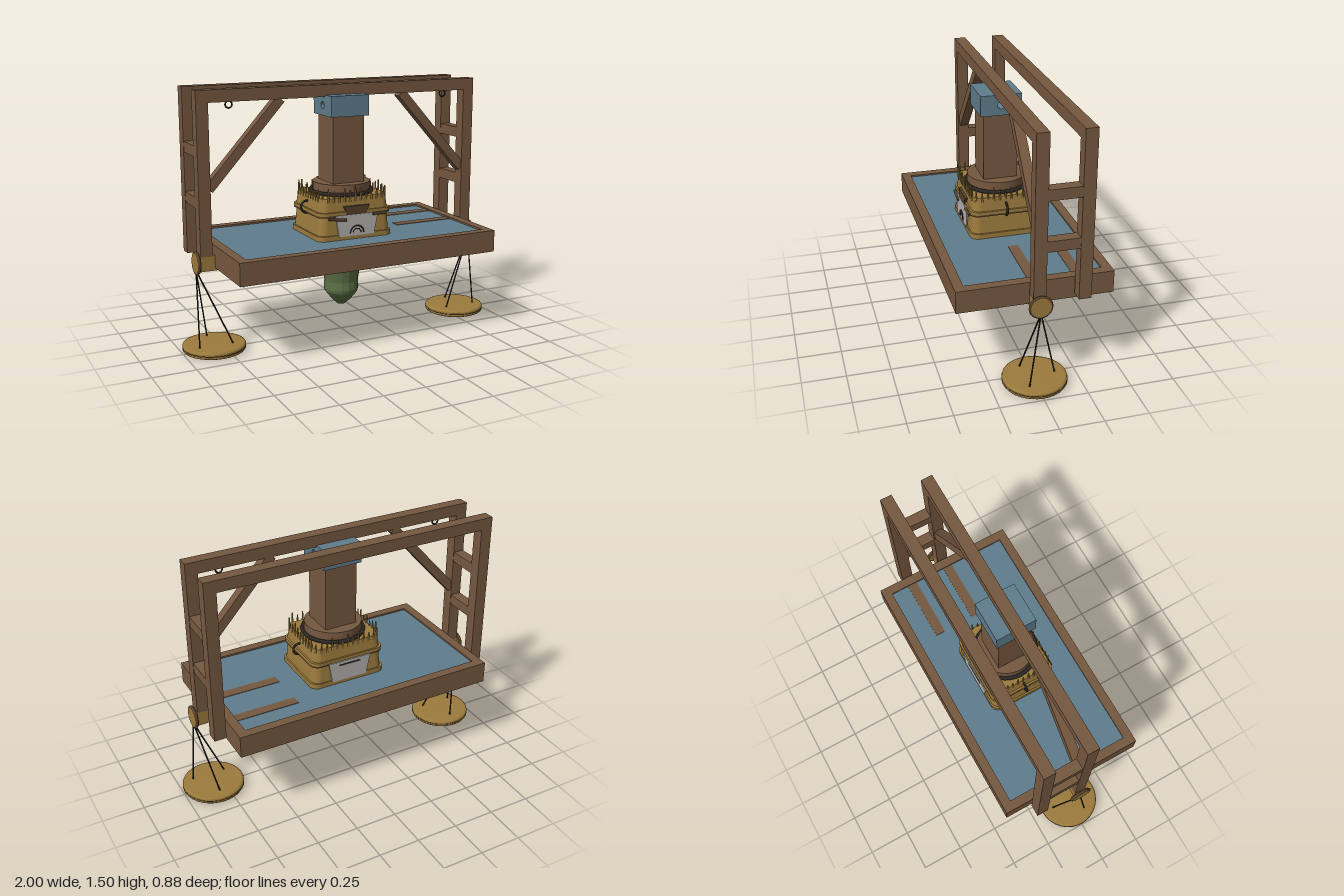
import * as THREE from 'three';

const mat = (name, color) => {
  const m = new THREE.MeshStandardMaterial({ color });
  m.name = name;
  return m;
};

export function createModel() {
  const wood = mat('brown wood', 0x765840);
  const trim = mat('dark wood trim', 0x55402a);
  const blue = mat('slate blue', 0x5f7d8c);
  const gold = mat('dull gold', 0x9c7b3d);
  const iron = mat('dark iron', 0x2a2725);
  const pale = mat('pale plate', 0xb4b2b0);
  const green = mat('moss green', 0x5c7046);
  green.flatShading = true;

  const model = new THREE.Group();
  model.name = 'weighingPress';

  const add = (name, geo, material, x = 0, y = 0, z = 0, parent = model) => {
    const m = new THREE.Mesh(geo, material);
    m.name = name;
    m.position.set(x, y, z);
    parent.add(m);
    return m;
  };
  // Box given by its limits on each axis
  const box = (name, material, x0, x1, y0, y1, z0, z1) =>
    add(name, new THREE.BoxGeometry(x1 - x0, y1 - y0, z1 - z0), material,
      (x0 + x1) / 2, (y0 + y1) / 2, (z0 + z1) / 2);
  // Straight rod between two points
  const rod = (name, material, a, b, r) => {
    const dir = b.clone().sub(a);
    const m = add(name, new THREE.CylinderGeometry(r, r, dir.length(), 6), material);
    m.position.copy(a).add(b).multiplyScalar(0.5);
    m.quaternion.setFromUnitVectors(new THREE.Vector3(0, 1, 0), dir.normalize());
    return m;
  };
  const roundedRect = (hx, hz, r) => {
    const s = new THREE.Shape();
    s.absarc(hx - r, hz - r, r, 0, Math.PI / 2);
    s.absarc(-hx + r, hz - r, r, Math.PI / 2, Math.PI);
    s.absarc(-hx + r, -hz + r, r, Math.PI, Math.PI * 1.5);
    s.absarc(hx - r, -hz + r, r, Math.PI * 1.5, Math.PI * 2);
    s.closePath();
    return s;
  };
  // Rounded rectangular slab whose outline scales towards the top
  const slab = (name, material, hx, hz, y0, y1, topScale = 1) => {
    const g = new THREE.ExtrudeGeometry(roundedRect(hx, hz, 0.05),
      { depth: y1 - y0, bevelEnabled: false, curveSegments: 6 });
    g.rotateX(-Math.PI / 2);
    const p = g.attributes.position;
    for (let i = 0; i < p.count; i++) {
      const k = p.getY(i) > 1e-4 ? topScale : 1;
      p.setXYZ(i, p.getX(i) * k, p.getY(i), p.getZ(i) * k);
    }
    g.computeVertexNormals();
    return add(name, g, material, 0, y0, 0);
  };
  // Flat polygon plate facing +z (side 1) or -z (side -1)
  const plate = (name, material, pts, z, depth, side = 1) => {
    const s = new THREE.Shape(pts.map(([x, y]) => new THREE.Vector2(x, y)));
    const m = add(name, new THREE.ExtrudeGeometry(s, { depth, bevelEnabled: false }), material, 0, 0, z * side);
    if (side < 0) m.rotation.y = Math.PI;
    return m;
  };

  // Table tray: base, raised rim and blue bed
  box('tableBase', wood, -0.805, 0.805, 0.5, 0.61, -0.445, 0.435);
  box('tableBed', blue, -0.75, 0.75, 0.61, 0.62, -0.39, 0.38);
  for (const s of [-1, 1]) {
    box('tableEndRim', wood, s * 0.7775 - 0.0275, s * 0.7775 + 0.0275, 0.61, 0.63, -0.445, 0.435);
    const z = -0.005 + s * 0.4125;
    box('tableSideRim', wood, -0.75, 0.75, 0.61, 0.63, z - 0.0275, z + 0.0275);
  }
  // Inlaid strips on the bed
  for (const z of [0, -0.25]) box('bedStrip', wood, 0.37, 0.75, 0.618, 0.623, z - 0.03, z + 0.03);

  // Two portal frames tied by rungs
  for (const [name, z0, z1, foot] of [['front', -0.033, 0.037, 0.57], ['rear', -0.285, -0.215, 0.535]]) {
    box(name + 'FrameBeam', wood, -0.89, 0.89, 1.43, 1.5, z0, z1);
    for (const s of [-1, 1]) {
      box(name + 'FramePost', wood, s * 0.855 - 0.035, s * 0.855 + 0.035, foot, 1.43, z0, z1);
    }
  }
  for (const s of [-1, 1]) {
    for (const y of [0.87, 1.16]) {
      box('frameRung', wood, s * 0.855 - 0.033, s * 0.855 + 0.033, y - 0.031, y + 0.031, -0.215, -0.033);
    }
    // Diagonal brace and hanging ring
    const brace = add('frameBrace', new THREE.BoxGeometry(0.055, 0.65, 0.055), wood, s * 0.607, 1.19, 0);
    brace.rotation.z = s * Math.atan2(0.425, 0.47);
    add('hangingRing', new THREE.TorusGeometry(0.02, 0.005, 6, 16), iron, s * 0.69, 1.412, 0);
  }

  // Column and pierced cap block
  box('column', wood, -0.1, 0.1, 0.9, 1.32, -0.1, 0.1);
  const capShape = new THREE.Shape([[-0.12, -0.06], [0.12, -0.06], [0.12, 0.06], [-0.12, 0.06]]
    .map(([x, y]) => new THREE.Vector2(x, y)));
  capShape.holes.push(new THREE.Path().absarc(0, 0, 0.022, 0, Math.PI * 2, true));
  const capGeo = new THREE.ExtrudeGeometry(capShape, { depth: 0.24, bevelEnabled: false, curveSegments: 10 });
  capGeo.translate(0, 0, -0.12).rotateY(Math.PI / 2);
  add('columnCap', capGeo, blue, 0, 1.38, 0);

  // Housing at the foot of the column
  slab('housingFlange', gold, 0.24, 0.208, 0.62, 0.65);
  slab('housingLower', gold, 0.23, 0.2, 0.65, 0.76, 0.96);
  slab('housingBand', trim, 0.233, 0.205, 0.757, 0.767);
  slab('housingBandTop', gold, 0.233, 0.205, 0.767, 0.785);
  slab('housingUpper', gold, 0.222, 0.195, 0.785, 0.865, 0.96);
  add('collar', new THREE.CylinderGeometry(0.17, 0.17, 0.075, 32), wood, 0, 0.893, 0);
  const hoop = add('collarHoop', new THREE.TorusGeometry(0.18, 0.012, 8, 36), iron, 0, 0.875, 0);
  hoop.rotation.x = Math.PI / 2;

  // Spikes around the housing's upper edge
  const edge = roundedRect(0.212, 0.188, 0.05).getSpacedPoints(44);
  edge.slice(0, 44).forEach((p, i) => {
    const h = 0.055 + 0.03 * ((i * 7) % 5) / 4;
    add('spike', new THREE.CylinderGeometry(0.004, 0.007, h, 5), gold, p.x, 0.84 + h / 2, p.y);
  });

  // Plates, clasp, dial and side handles
  const plateOutline = [[-0.115, 0.64], [0.11, 0.64], [0.137, 0.765], [-0.137, 0.765]];
  plate('frontPlate', pale, plateOutline, 0.203, 0.008);
  plate('rearPlate', pale, plateOutline, 0.203, 0.008, -1);
  plate('rearSlot', iron, [[-0.07, 0.738], [0.07, 0.738], [0.07, 0.747], [-0.07, 0.747]], 0.21, 0.003, -1);
  plate('clasp', trim, [[-0.06, 0.765], [0.06, 0.765], [0.082, 0.815], [-0.082, 0.815]], 0.185, 0.024);
  add('dialArc', new THREE.TorusGeometry(0.043, 0.004, 6, 20, Math.PI), iron, 0, 0.655, 0.211);
  add('dialInnerArc', new THREE.TorusGeometry(0.026, 0.003, 6, 16, Math.PI), iron, 0, 0.655, 0.211);
  rod('plateBar', trim, new THREE.Vector3(-0.18, 0.752, 0.21), new THREE.Vector3(-0.07, 0.738, 0.214), 0.009);
  rod('plateBar', trim, new THREE.Vector3(0.1, 0.758, 0.212), new THREE.Vector3(0.19, 0.758, 0.208), 0.009);
  for (const s of [-1, 1]) {
    add('sideHandle', new THREE.TorusGeometry(0.036, 0.007, 6, 18), iron, s * 0.225, 0.79, 0);
  }

  // Faceted pendant below the table
  const pendant = [[0, 0.167], [0.025, 0.168], [0.06, 0.2], [0.1, 0.25], [0.105, 0.27], [0.102, 0.32],
    [0.112, 0.38], [0.13, 0.44], [0.142, 0.475], [0.138, 0.488], [0, 0.5]];
  add('pendant', new THREE.LatheGeometry(pendant.map(([r, y]) => new THREE.Vector2(r, y)), 16), green);

  // Balance beam, end discs, cords and pans
  box('balanceBeam', gold, -0.9, 0.9, 0.485, 0.575, -0.033, 0.033);
  const panProfile = [[0, 0.004], [0.165, 0.004], [0.178, 0.01], [0.183, 0.018], [0.179, 0.026],
    [0.183, 0.034], [0.18, 0.044], [0.168, 0.049], [0, 0.049]];
  for (const s of [-1, 1]) {
    const disc = add('beamEndDisc', new THREE.CylinderGeometry(0.058, 0.058, 0.02, 24), gold, s * 0.903, 0.53, 0);
    disc.rotation.z = Math.PI / 2;
    const rim = add('beamEndRim', new THREE.TorusGeometry(0.059, 0.009, 8, 24), trim, s * 0.905, 0.53, 0);
    rim.rotation.y = Math.PI / 2;
    for (const [x, z] of [[0.92, 0.06], [0.82, -0.115], [0.72, 0.06]]) {
      rod('panCord', iron, new THREE.Vector3(s * 0.908, 0.49, 0), new THREE.Vector3(s * x, 0.045, z), 0.0045);
    }
    // Pan body split into short lathes so its edges stay crisp
    const pan = new THREE.LatheGeometry(panProfile.map(([r, y]) => new THREE.Vector2(r, y)), 32);
    add('pan', pan, gold, s * 0.815, 0, 0);
    const seam = add('panSeam', new THREE.TorusGeometry(0.178, 0.004, 6, 32), trim, s * 0.815, 0.026, 0);
    seam.rotation.x = Math.PI / 2;
  }

  return model;
}
